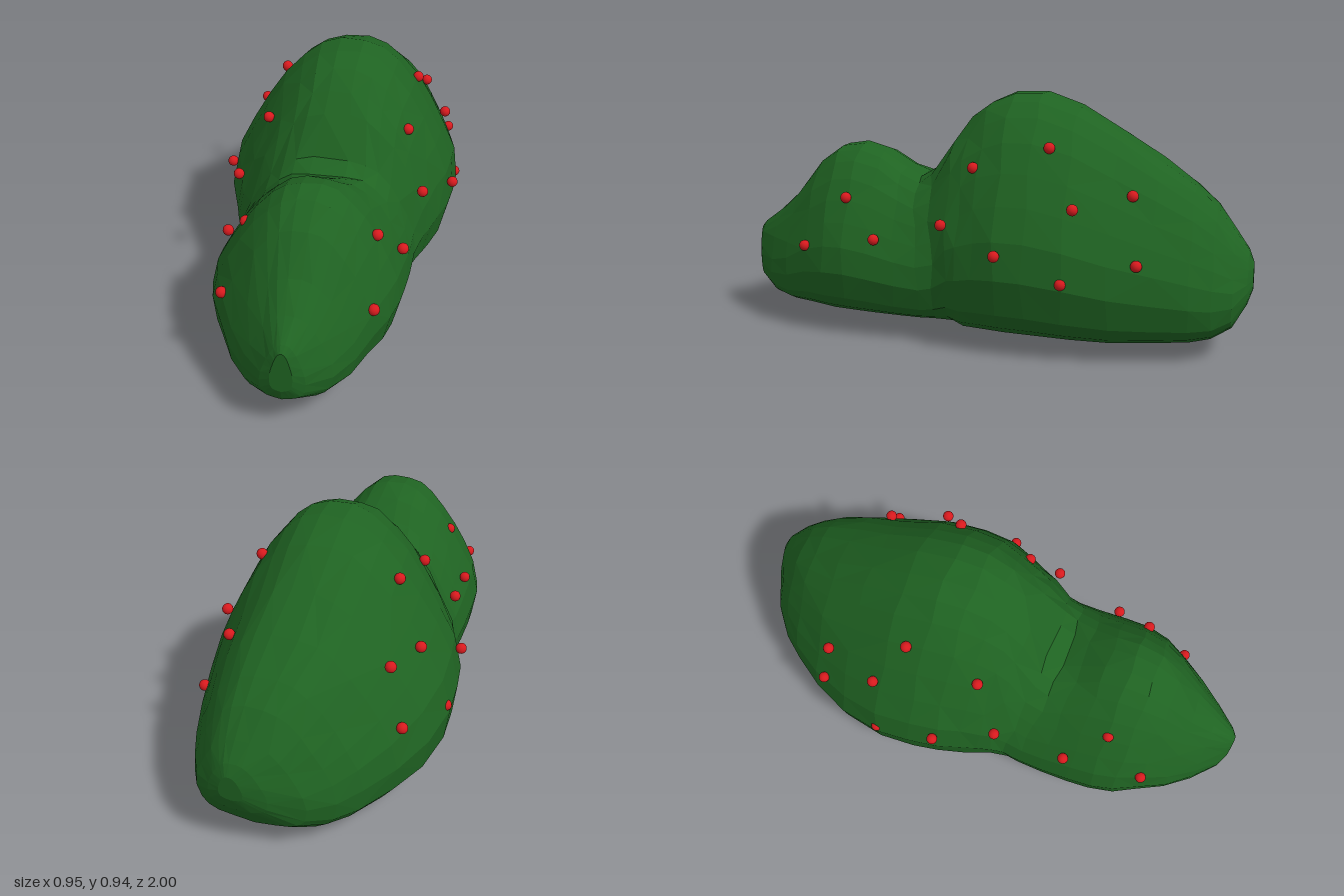
import * as THREE from 'three';

// Half outline of a cross-section: [height fraction, width fraction]
const PROFILE = [[0, 0], [0.022, 0.38], [0.055, 0.65], [0.1, 0.82], [0.17, 0.94], [0.32, 1], [0.47, 0.95],
  [0.6, 0.83], [0.72, 0.7], [0.83, 0.56], [0.92, 0.4], [0.975, 0.26], [1, 0.1]];

// Sections from front to back: [z, bottom, top, half width, centre x]
const SECTIONS = [
  [1.0, 0.19, 0.35, 0.04, 0], [0.98, 0.14, 0.373, 0.08, 0], [0.9, 0.085, 0.43, 0.16, 0],
  [0.81, 0.062, 0.515, 0.227, -0.005], [0.71, 0.052, 0.64, 0.28, -0.01], [0.62, 0.042, 0.707, 0.325, -0.012],
  [0.53, 0.04, 0.72, 0.347, -0.012], [0.44, 0.038, 0.692, 0.352, -0.012], [0.35, 0.038, 0.635, 0.353, -0.01],
  [0.28, 0.038, 0.605, 0.35, -0.008], [0.22, 0.038, 0.64, 0.348, -0.005], [0.13, 0.035, 0.78, 0.372, 0],
  [0.07, 0.014, 0.845, 0.39, 0], [0, 0.01, 0.903, 0.413, 0], [-0.09, 0.008, 0.938, 0.444, 0],
  [-0.2, 0.005, 0.94, 0.458, -0.005], [-0.34, 0.002, 0.893, 0.462, -0.008], [-0.5, 0.002, 0.8, 0.432, -0.004],
  [-0.65, 0.015, 0.705, 0.378, 0.01], [-0.78, 0.03, 0.62, 0.318, 0.033], [-0.86, 0.05, 0.55, 0.268, 0.05],
  [-0.93, 0.1, 0.46, 0.205, 0.07], [-0.98, 0.19, 0.395, 0.11, 0.095], [-1.0, 0.25, 0.35, 0.045, 0.11]];

// Berries: [height, z, right-hand x, left-hand x]
const BERRIES = [[0.38, -0.6, 0.385, -0.37], [0.61, -0.57, 0.285, -0.315], [0.57, -0.37, 0.385, -0.365],
  [0.31, -0.34, 0.44, -0.46], [0.77, -0.265, 0.28, -0.25], [0.4, -0.1, 0.45, -0.45], [0.685, 0.02, 0.28, -0.262],
  [0.48, 0.125, 0.355, -0.363], [0.4, 0.4, 0.32, -0.335], [0.54, 0.535, 0.245, -0.228], [0.345, 0.705, 0.262, -0.28]];

function buildBush() {
  // Full ring, counter-clockwise as seen from the front
  const ring = [...PROFILE, ...PROFILE.slice(1).reverse().map(([h, w]) => [h, -w])];
  const n = ring.length, last = SECTIONS.length - 1;
  const positions = [], indices = [];
  SECTIONS.forEach(([z, bottom, top, half, cx], i) => {
    // The valley between the humps is fuller on top and curves back along the flanks
    const valley = Math.exp(-(((z - 0.25) / 0.12) ** 2));
    const power = 1 - 0.3 * valley - (z < -0.55 ? 0.12 : 0);
    ring.forEach(([h, w], j) => {
      // The whole leans slightly to +x
      const lean = (h - 0.42) * 0.12 * half;
      const x = cx + lean + Math.sign(w) * Math.abs(w) ** (h > 0.4 ? power : 1) * half;
      // Slight unevenness in the facets, fading out at the two ends
      const wobble = 0.007 * Math.sin(i * 2.4 + j * 1.9) * Math.sin(Math.PI * i / last);
      positions.push(x, bottom + h * (top - bottom), z + wobble - 0.06 * valley * w * w);
    });
  });
  for (let i = 0; i < last; i++) {
    for (let j = 0; j < n; j++) {
      const a = i * n + j, b = i * n + (j + 1) % n, c = a + n, d = b + n;
      if ((i + j) % 2) indices.push(a, c, b, b, c, d);
      else indices.push(a, c, d, a, d, b);
    }
  }
  // Close both ends
  for (let j = 1; j < n - 1; j++) {
    indices.push(0, j, j + 1, last * n, last * n + j + 1, last * n + j);
  }
  const geometry = new THREE.BufferGeometry();
  geometry.setAttribute('position', new THREE.Float32BufferAttribute(positions, 3));
  geometry.setIndex(indices);
  geometry.computeVertexNormals();
  return geometry;
}

export function createModel() {
  const model = new THREE.Group();
  model.name = 'berryBush';

  // Two-humped foliage
  const leafMaterial = new THREE.MeshStandardMaterial({ color: 0x1f6322, flatShading: true });
  const foliage = new THREE.Mesh(buildBush(), leafMaterial);
  foliage.name = 'foliage';
  model.add(foliage);

  // Berries along both flanks
  const berryMaterial = new THREE.MeshStandardMaterial({ color: 0xd81a1e });
  const berryGeometry = new THREE.SphereGeometry(0.021, 16, 12);
  const berries = new THREE.Group();
  berries.name = 'berries';
  for (const [y, z, ...sides] of BERRIES) {
    for (const x of sides) {
      const berry = new THREE.Mesh(berryGeometry, berryMaterial);
      berry.name = 'berry';
      berry.position.set(x, y, z);
      berries.add(berry);
    }
  }
  model.add(berries);
  return model;
}
